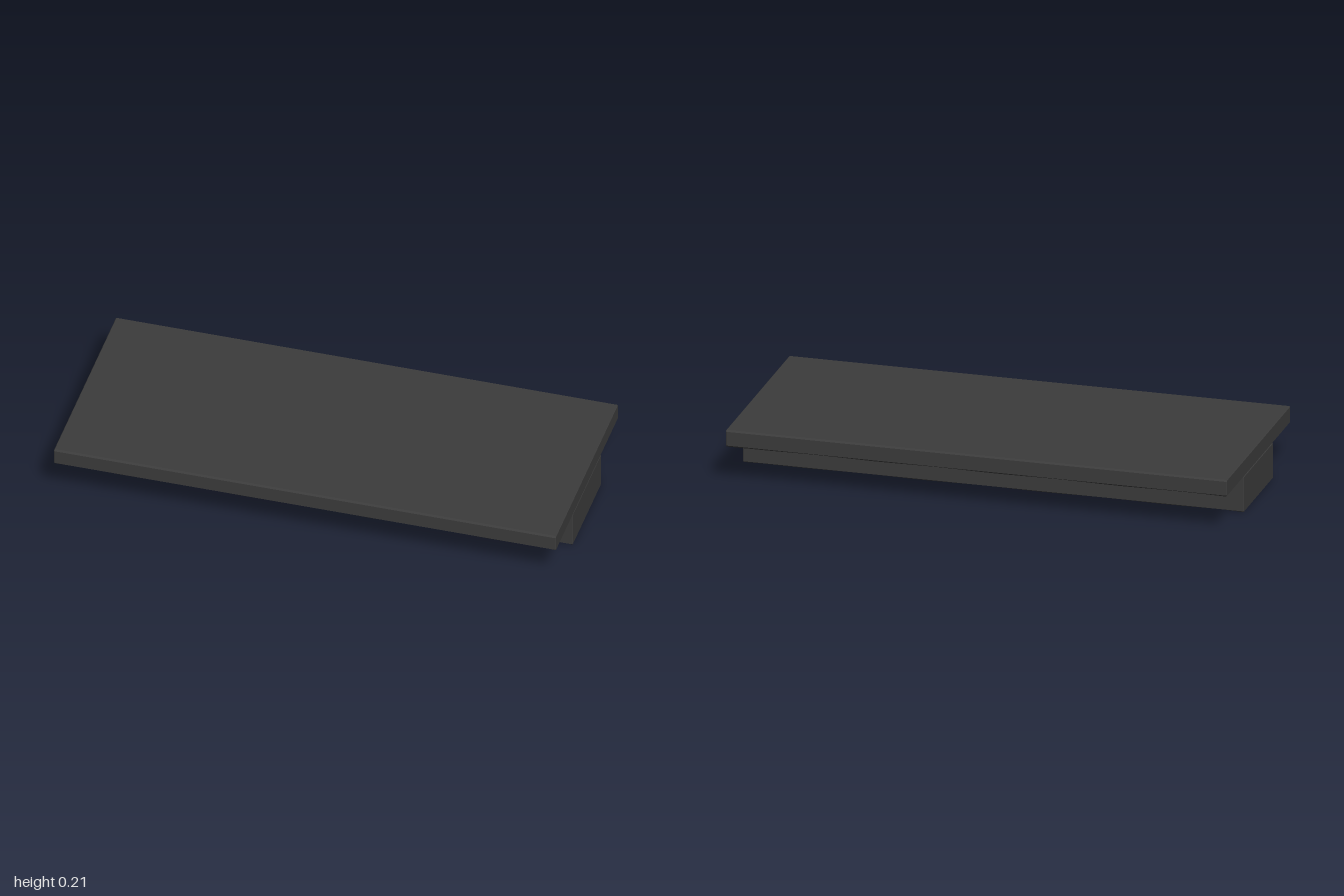
import * as THREE from 'three';

const material = new THREE.MeshStandardMaterial({ color: 0x3c3c3c, flatShading: true });

// Extrudes a (z, y) outline along x, centred on x = 0
function extrudeAlongX(points, width, bevel, steps = 1) {
  const shape = new THREE.Shape(points.map(([z, y]) => new THREE.Vector2(-z, y)));
  const geometry = new THREE.ExtrudeGeometry(shape, {
    depth: width - 2 * bevel, steps, bevelEnabled: bevel > 0,
    bevelSize: bevel, bevelThickness: bevel, bevelOffset: -bevel, bevelSegments: 1,
  });
  geometry.translate(0, 0, bevel - width / 2);
  geometry.rotateY(Math.PI / 2);
  return geometry;
}

// Stone block with chamfered, slightly worn long edges
function stoneBlock(name, depth, y0, y1, chamfer, phase) {
  const z = depth / 2, c = chamfer;
  const outline = [
    [-z + c, y0], [z - c, y0], [z, y0 + c], [z, y1 - c],
    [z - c, y1], [-z + c, y1], [-z, y1 - c], [-z, y0 + c],
  ].reverse();
  const geometry = extrudeAlongX(outline, 2, 0.003, 24);
  const p = geometry.attributes.position;
  for (let i = 0; i < p.count; i++) {
    const x = p.getX(i), y = p.getY(i), pz = p.getZ(i);
    // Only the inner lower chamfer lines wander, so the silhouette stays straight
    if (y < y0 + 0.001 && Math.abs(x) < 0.99) {
      const wear = 0.003 * (1 + Math.sin(x * 13 + phase + Math.sign(pz)));
      p.setZ(i, pz - Math.sign(pz) * wear);
    }
  }
  geometry.computeVertexNormals();
  const mesh = new THREE.Mesh(geometry, material);
  mesh.name = name;
  return mesh;
}

export function createModel() {
  const group = new THREE.Group();
  group.name = 'stoneLedge';

  group.add(stoneBlock('topSlab', 0.872, 0.145, 0.213, 0.006, 0.5));
  group.add(stoneBlock('supportBeam', 0.4, 0, 0.146, 0.004, 2));

  // Row of small brackets under the front overhang
  const profile = [
    [0.19, 0.08], [0.338, 0.08], [0.365, 0.097], [0.38, 0.122], [0.38, 0.15], [0.19, 0.15],
  ].reverse();
  const bracketGeometry = extrudeAlongX(profile, 0.094, 0.002);
  for (const x of [-0.75, -0.25, 0.328, 0.845]) {
    const bracket = new THREE.Mesh(bracketGeometry, material);
    bracket.name = 'bracket';
    bracket.position.x = x;
    group.add(bracket);
  }
  return group;
}
